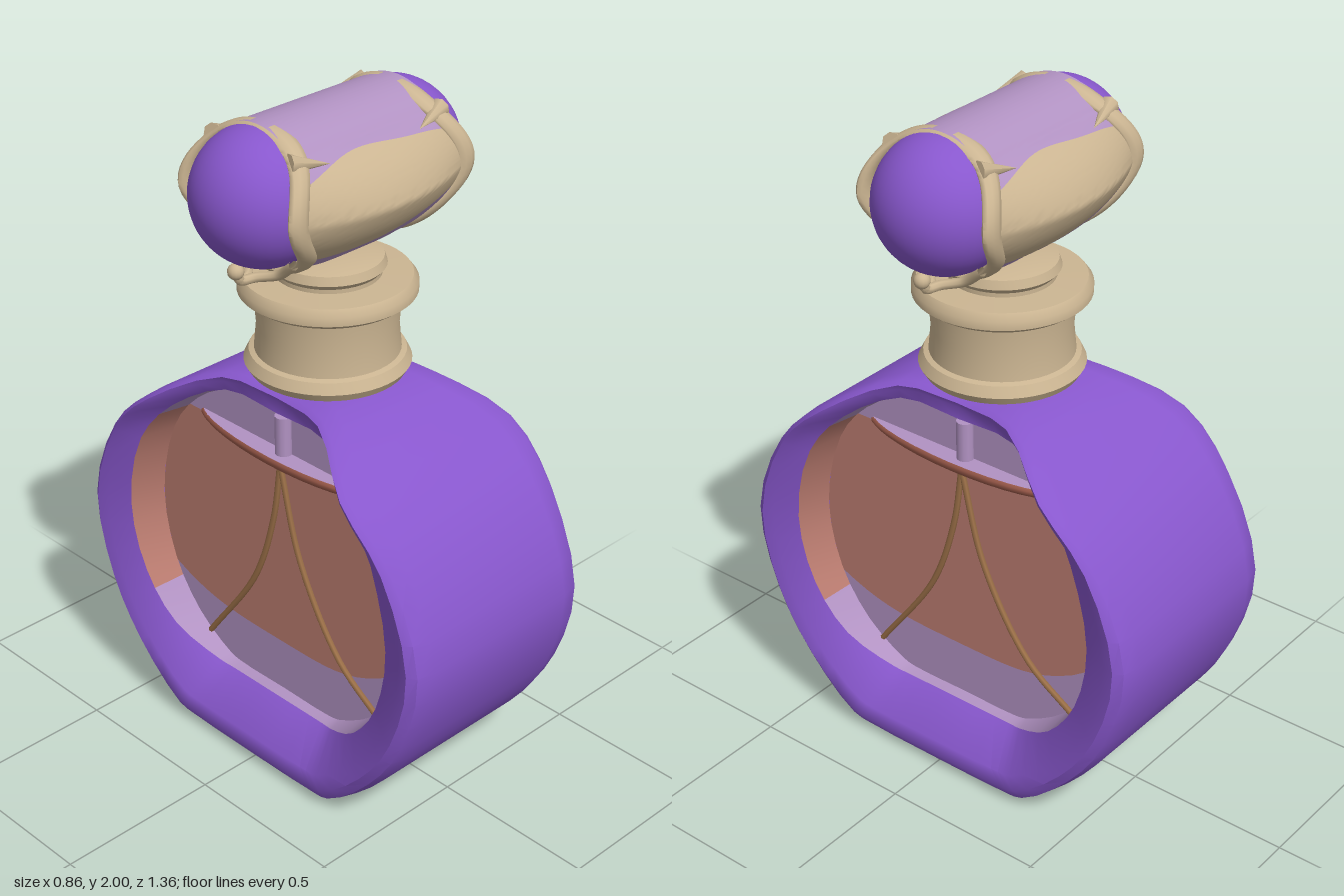
import * as THREE from 'three';
import { toCreasedNormals } from 'three/addons/utils/BufferGeometryUtils.js';

const flat = (name, color) => {
  const m = new THREE.MeshStandardMaterial({ color, side: THREE.DoubleSide });
  m.name = name;
  return m;
};
const V = (x, y, z) => new THREE.Vector3(x, y, z);

// Grid surface from a rule f(u, v) -> [x, y, z], u and v in 0..1
function surface(nu, nv, f, crease = 0.55) {
  const pos = [], idx = [];
  for (let i = 0; i <= nu; i++)
    for (let j = 0; j <= nv; j++) pos.push(...f(i / nu, j / nv));
  for (let i = 0; i < nu; i++)
    for (let j = 0; j < nv; j++) {
      const a = i * (nv + 1) + j, b = a + nv + 1;
      idx.push(a, b, a + 1, b, b + 1, a + 1);
    }
  const g = new THREE.BufferGeometry();
  g.setAttribute('position', new THREE.Float32BufferAttribute(pos, 3));
  g.setIndex(idx);
  return toCreasedNormals(g, crease);
}

// Half outline, top to bottom: outer z, outer y, half width, window z, window y, window x
const KEYS = [
  [0, 1.2, 0.2, 0, 1.13, 0.195],
  [0.19, 1.197, 0.225, 0.2, 1.13, 0.205],
  [0.4, 1.085, 0.335, 0.36, 1.04, 0.27],
  [0.57, 0.92, 0.337, 0.47, 0.9, 0.3],
  [0.68, 0.64, 0.337, 0.53, 0.65, 0.3],
  [0.62, 0.37, 0.337, 0.485, 0.43, 0.29],
  [0.5, 0.18, 0.337, 0.38, 0.28, 0.27],
  [0.33, 0.025, 0.335, 0.24, 0.19, 0.22],
  [0.24, 0.008, 0.33, 0.19, 0.18, 0.21],
  [0, 0.005, 0.33, 0, 0.18, 0.21],
];
// Rounded by three steps between keys
const STEPS = 3, COUNT = (KEYS.length - 1) * STEPS;
const smooth = from => new THREE.CatmullRomCurve3(KEYS.map(k => V(...k.slice(from, from + 3)))).getPoints(COUNT);
const lip = smooth(3);
const HALF = smooth(0).map((p, i) => [...p.toArray(), ...lip[i].toArray()]);
const mirrored = HALF.slice(1, -1).reverse().map(([z, y, w, lz, ly, lx]) => [-z, y, w, -lz, ly, lx]);
const RING = [...HALF, ...mirrored, HALF[0]];
const PANEL_X = 0.18;

// Half width of the window at height y
function windowHalf(y) {
  for (let i = STEPS; i < COUNT - STEPS; i++) {
    const [, , , z0, y0] = HALF[i], [, , , z1, y1] = HALF[i + 1];
    if (y <= y0 && y >= y1) return z0 + (z1 - z0) * (y0 - y) / (y0 - y1);
  }
  return 0.2;
}

export function createModel() {
  const root = new THREE.Group();
  root.name = 'perfumeBottle';
  const purple = flat('purple', 0x8857cd), beige = flat('beige', 0xcbb592);
  const mauve = flat('mauve glass', 0xb192c2), salmon = flat('salmon liquid', 0xbc7d71);
  const rust = flat('rust liquid surface', 0xa35f4e), bronze = flat('bronze', 0x9c7048);
  const add = (parent, name, geo, mat) => {
    const m = new THREE.Mesh(geo, mat);
    m.name = name;
    parent.add(m);
    return m;
  };

  // Rounded outer shell, bevelled into the side windows
  const n = RING.length - 1;
  add(root, 'shell', surface(n, 9, (u, v) => {
    const [z, y, w, lz, ly, lx] = RING[Math.round(u * n)];
    const k = Math.round(v * 9), s = k < 5 ? -1 : 1, step = k < 5 ? k : 9 - k;
    const t = [1, 0.5, 0.25, 0.08, 0][step];
    const x = [lx, w - 0.008, w, w - 0.018, w - 0.075][step];
    return [s * x, y + (ly - y) * t, z + (lz - z) * t];
  }, 0.75), purple);

  // One recessed window, repeated on the opposite side
  for (const [name, turn] of [['leftWindow', 0], ['rightWindow', Math.PI]]) {
    const win = new THREE.Group();
    win.name = name;
    win.rotation.y = turn;
    root.add(win);

    const low = s => 0.355 + (s < 0 ? 0.16 : 0.07) * Math.abs(s) ** 4;
    const panel = (label, y0, y1, mat) => add(win, label, surface(24, 12, (u, v) => {
      const s = u * 2 - 1, y = y0(s) + (y1(s) - y0(s)) * v;
      return [PANEL_X, y, s * 0.98 * windowHalf(y)];
    }), mat);
    panel('lowerGlass', () => 0.18, low, mauve);
    panel('liquid', low, () => 1.0, salmon);
    panel('upperGlass', () => 1.0, () => 1.13, mauve);

    // Wall between the panel and the window edge, in runs of one colour
    const wet = i => {
      const y = (RING[i][4] + RING[i + 1][4]) / 2;
      return y > 0.36 && y < 1;
    };
    for (let i = 0, end; i < n; i = end) {
      for (end = i + 1; end < n && wet(end) === wet(i);) end++;
      const start = i, span = end - i;
      add(win, wet(i) ? 'liquidWall' : 'glassWall', surface(span, 1, (u, v) => {
        const p = RING[start + Math.round(u * span)], k = v ? 1 : 0.98;
        return [v ? p[5] : PANEL_X, 0.65 + (p[4] - 0.65) * k, p[3] * k];
      }), wet(i) ? salmon : mauve);
    }

    // Liquid surface: rounded underside with a clear flat top
    const under = add(win, 'liquidSurfaceUnderside',
      new THREE.SphereGeometry(1, 32, 10, 0, Math.PI * 2, Math.PI * 0.42, Math.PI * 0.58), rust);
    under.scale.set(0.09, 0.045, 0.36);
    under.position.set(0.15, 1.0, 0);
    const cap = add(win, 'liquidSurfaceTop', new THREE.CircleGeometry(1, 32), mauve);
    cap.rotation.x = -Math.PI / 2;
    cap.scale.set(0.087, 0.35, 1);
    cap.position.set(0.15, 1.011, 0);

    // Stem and thin dip tubes
    add(win, 'stem', new THREE.CylinderGeometry(0.025, 0.025, 0.13, 12), mauve)
      .position.set(0.19, 1.065, -0.02);
    for (const path of [
      [V(0.195, 0.97, -0.01), V(0.195, 0.78, 0.02), V(0.195, 0.55, 0.1), V(0.2, 0.26, 0.3)],
      [V(0.195, 0.97, -0.01), V(0.195, 0.68, -0.09), V(0.2, 0.43, -0.25), V(0.22, 0.33, -0.43)],
    ]) add(win, 'dipTube', new THREE.TubeGeometry(new THREE.CatmullRomCurve3(path), 24, 0.009, 6), bronze);
  }

  // Turned neck collar
  const neck = [
    [0, 1.19], [0.18, 1.19], [0.19, 1.21], [0.22, 1.215], [0.235, 1.24], [0.22, 1.27], [0.205, 1.275],
    [0.198, 1.35], [0.205, 1.43], [0.23, 1.44], [0.25, 1.455], [0.25, 1.48], [0.235, 1.5], [0.15, 1.503],
    [0.15, 1.515], [0.163, 1.53], [0.155, 1.555], [0.12, 1.565], [0, 1.57],
  ].map(p => new THREE.Vector2(...p));
  add(root, 'neck', toCreasedNormals(new THREE.LatheGeometry(neck, 48), 0.7), beige);

  // Stopper: ridged barrel along x, angle a runs from the top towards +z
  const stopper = new THREE.Group();
  stopper.name = 'stopper';
  stopper.position.y = 1.8;
  root.add(stopper);
  const rad = Math.PI / 180;
  const halfLength = a => {
    const s = Math.abs(Math.sin(a)), top = Math.cos(a) >= 0;
    return (top ? 0.255 : 0.225) + (top ? 0.075 : 0.105) * s ** 5;
  };
  const barrel = (t, a) => {
    const c = Math.cos(a);
    const ridge = 0.08 * Math.max(0, 1 - Math.abs(a / rad - 93) / 48);
    const r = 0.2 + (1 - t * t) * ridge + (c < 0 ? (1 - t ** 4) * 0.035 * c * c : 0);
    return [t * halfLength(a), r * c, r * Math.sin(a)];
  };
  const upper = t => (54 + 14 * t * t + 2 * Math.sin(5 * t)) * rad;
  const lower = t => (121 - 15 * Math.sin(1.6 * t)) * rad;
  const band = (parent, name, from, to, mat) => add(parent, name, surface(28, 36, (u, v) => {
    const t = u * 2 - 1;
    return barrel(t, from(t) + (to(t) - from(t)) * v);
  }, 1.2), mat);
  for (const turn of [0, Math.PI]) {
    const side = new THREE.Group();
    side.name = 'stopperSide';
    side.rotation.y = turn;
    stopper.add(side);
    band(side, 'upperStopperGlass', () => 0, upper, mauve);
    band(side, 'stopperPlate', upper, lower, beige);
    band(side, 'lowerStopperGlass', lower, () => Math.PI, mauve);

    // Ball end held by a flat collar with claws
    add(side, 'ballEnd', new THREE.SphereGeometry(0.195, 40, 28), purple).position.x = 0.237;
    add(side, 'collar', surface(72, 10, (u, v) => {
      const a = u * 2 * Math.PI, f = v * 2 * Math.PI, s = Math.sin(a), c = Math.cos(a);
      const r = 0.184 + 0.027 * s * s + (c < 0 ? 0.025 * c * c : 0) + 0.016 * Math.sin(f);
      return [halfLength(a) - 0.022 + 0.034 * Math.cos(f), r * c, r * s];
    }, 1.2), beige);
    for (const m of [-1, 1]) {
      const claw = add(side, 'claw', new THREE.ConeGeometry(0.028, 0.12, 8), beige);
      const base = V(...barrel(0.95, 48 * rad)), tip = V(...barrel(0.64, 55 * rad));
      base.z *= m;
      tip.z *= m;
      claw.position.copy(base).lerp(tip, 0.5);
      claw.quaternion.setFromUnitVectors(V(0, 1, 0), tip.sub(base).normalize());

      // Lower hook arms
      const arm = new THREE.CatmullRomCurve3([
        V(0.26, -0.15, m * 0.14), V(0.25, -0.205, m * 0.07), V(0.28, -0.22, m * 0.015),
        V(0.32, -0.22, 0), V(0.335, -0.19, 0),
      ]);
      add(side, 'hookArm', new THREE.TubeGeometry(arm, 20, 0.014, 8), beige);
    }
    add(side, 'hookKnob', new THREE.SphereGeometry(0.023, 14, 10), beige).position.set(0.335, -0.19, 0);
  }
  return root;
}
